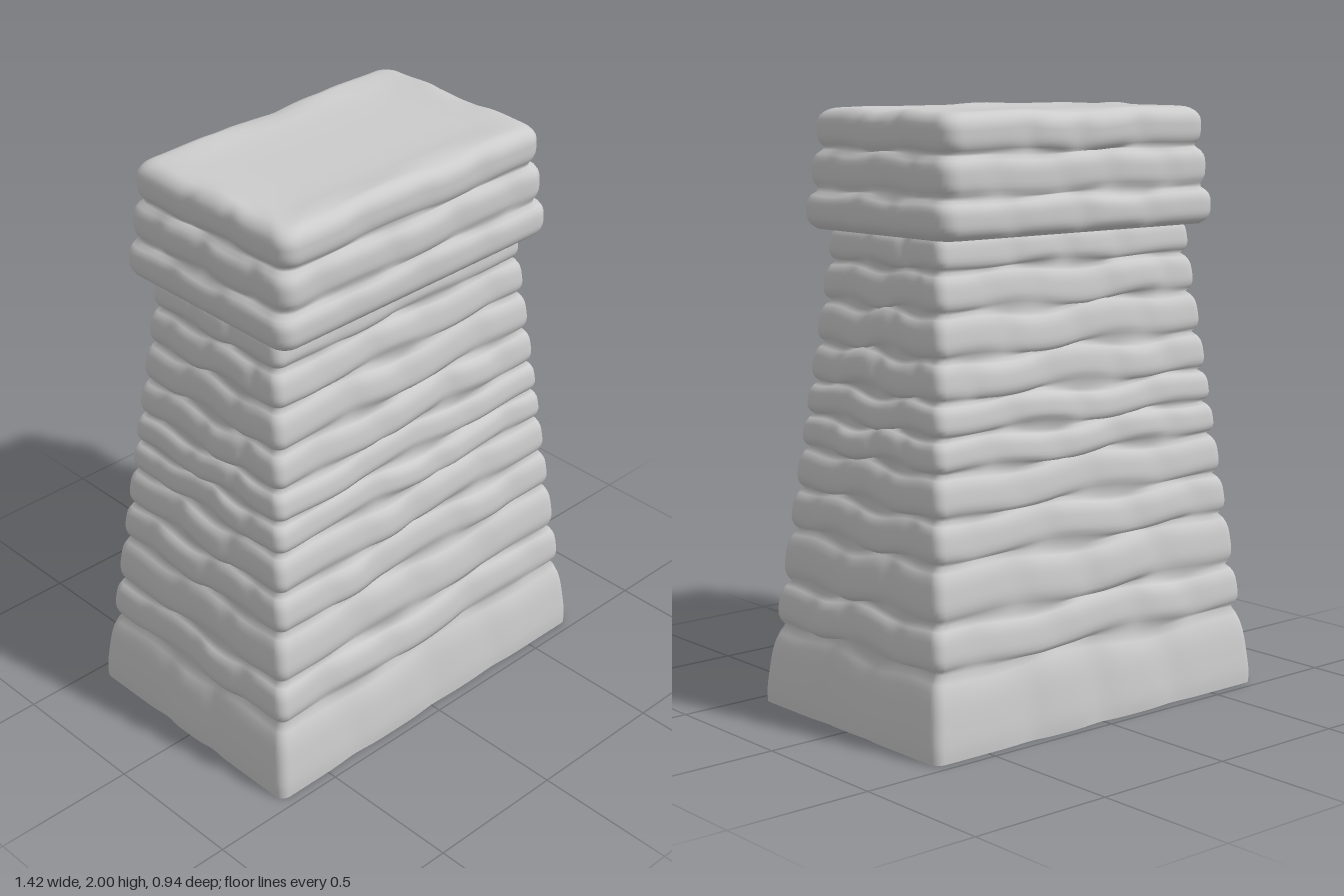
import * as THREE from 'three';

const stone = new THREE.MeshStandardMaterial({ color: 0xcccccc, side: THREE.DoubleSide });

// Repeatable pseudo-random value in 0..1
const hash = (a, b, c = 0) => {
  const s = Math.sin(a * 127.1 + b * 311.7 + c * 74.7 + 3.3) * 43758.5453;
  return s - Math.floor(s);
};

// Perimeter of a rounded rectangle: four sides, each followed by a corner arc
const perimeter = [];
for (let side = 0; side < 4; side++) {
  const a = side * Math.PI / 2, c = Math.round(Math.cos(a)), s = Math.round(Math.sin(a));
  const steps = side % 2 ? 60 : 40;
  const add = (u, turn) => perimeter.push({
    side, u, kx: c - s * u, kz: s + c * u, nx: Math.cos(a + turn), nz: Math.sin(a + turn),
  });
  for (let i = 0; i <= steps; i++) add(-1 + 2 * i / steps, 0);
  for (let i = 1; i < 5; i++) add(1, i / 5 * Math.PI / 2);
}

// Joint positions along one side of one course, staggered from course to course
function jointsOf(side, course) {
  const n = side % 2 ? 4 : 3, shift = course % 2 ? 0.5 : 0;
  const joints = [];
  for (let k = shift ? 0 : 1; k < n; k++) {
    joints.push(((k + shift + (hash(side, course, k) - 0.5) * 0.35) / n) * 2 - 1);
  }
  return joints;
}

// Outward swelling of the stone at u: low at joints, full in the middle
function stoneRelief(side, course, u) {
  const joints = jointsOf(side, course);
  const k = joints.filter((j) => j < u).length;
  const gap = Math.min(...joints.map((j) => Math.abs(j - u)));
  const inner = k > 0 && k < joints.length;
  const rise = 1 - Math.exp(-Math.pow(gap / 0.1, 2));
  const own = inner ? (hash(course, side, k + 9) - 0.35) * 0.012 : 0;
  return rise * (0.008 + own) - 0.004;
}

// Skins a stack of rings { y, hx, hz, r, t, course, wave } into a smooth surface
function skin(name, rings) {
  const pos = [], index = [], n = perimeter.length;
  rings.forEach((ring, i) => {
    const { y, hx, hz, r = 0.03, course, amount = 1, wave = 0 } = ring;
    for (const p of perimeter) {
      const d = amount ? amount * stoneRelief(p.side, course, p.u) : 0;
      const dy = wave * Math.sin(p.u * 5 + course * 1.9 + p.side * 2.3) * (1 - p.u * p.u);
      pos.push(p.kx * (hx - r) + p.nx * (r + d), y + dy, p.kz * (hz - r) + p.nz * (r + d));
    }
    if (i === 0) return;
    for (let j = 0; j < n; j++) {
      const k = (j + 1) % n, a = (i - 1) * n, b = i * n;
      index.push(a + j, b + j, a + k, a + k, b + j, b + k);
    }
  });
  const geo = new THREE.BufferGeometry();
  geo.setAttribute('position', new THREE.Float32BufferAttribute(pos, 3));
  geo.setIndex(index);
  geo.computeVertexNormals();
  const mesh = new THREE.Mesh(geo, stone);
  mesh.name = name;
  return mesh;
}

// Rounded profile across the height of a course, 0 at its edges and 1 in the middle
const swell = (t) => 1 - Math.pow(Math.abs(2 * t - 1), 3.5);

// Tapering shaft, open underneath
function shaft() {
  const levels = [0, 0.27, 0.42, 0.6, 0.74, 0.88, 0.99, 1.1, 1.23, 1.37, 1.5, 1.62];
  const rings = [];
  for (let c = 0; c < levels.length - 1; c++) {
    const steps = 10;
    for (let i = c ? 1 : 0; i <= steps; i++) {
      const f = i / steps, y = levels[c] + (levels[c + 1] - levels[c]) * f;
      const b = swell(c ? f : 0.15 + 0.85 * f);
      const out = 0.02 * (b - 1);
      rings.push({
        y, hx: 0.711 - 0.107 * y + out, hz: 0.469 - 0.113 * y + out, course: c,
        amount: b, wave: 0.016 * Math.min(1, y * 4, (1.62 - y) * 5),
      });
    }
  }
  return skin('shaft', rings);
}

// Overhanging cap of three courses with a softly rounded flat top
function cap() {
  const r = 0.05;
  const rings = [
    { y: 1.61, hx: 0.52, hz: 0.27, r, course: 20, amount: 0 },
    { y: 1.603, hx: 0.56, hz: 0.345, r, course: 20, amount: 0 },
  ];
  const courses = [[1.603, 1.725, 0.588, 0.372], [1.725, 1.86, 0.57, 0.362], [1.86, 1.945, 0.556, 0.353]];
  courses.forEach(([y0, y1, hx, hz], c) => {
    const last = c === 2;
    for (let i = c ? 1 : 0; i <= 10; i++) {
      const f = i / 10, b = swell(last ? f * 0.6 : f), out = 0.022 * (b - 1);
      rings.push({
        y: y0 + (y1 - y0) * f, hx: hx + out, hz: hz + out, r, course: 20 + c,
        amount: b, wave: c || f > 0.5 ? 0.007 : 0,
      });
    }
  });
  // Rounded shoulder
  for (let i = 1; i <= 6; i++) {
    const a = i / 6 * Math.PI / 2, inset = 0.05 * (1 - Math.cos(a));
    rings.push({
      y: 1.945 + 0.05 * Math.sin(a), hx: 0.556 - inset, hz: 0.353 - inset, r,
      course: 22, amount: 1 - i / 7, wave: 0.006,
    });
  }
  // Slightly dished top, closing at the centre
  const top = [[0.08, 1.996], [0.12, 1.991], [0.17, 1.987], [0.25, 1.986], [0.31, 1.986]];
  for (const [inset, y] of top) {
    rings.push({ y, hx: 0.556 - inset, hz: 0.353 - inset, r: Math.min(r, 0.353 - inset), course: 22, amount: 0 });
  }
  rings.push({ y: 1.986, hx: 0, hz: 0, r: 0, course: 22, amount: 0 });
  return skin('cap', rings);
}

export function createModel() {
  const group = new THREE.Group();
  group.name = 'stoneChimney';
  group.add(shaft(), cap());
  return group;
}
